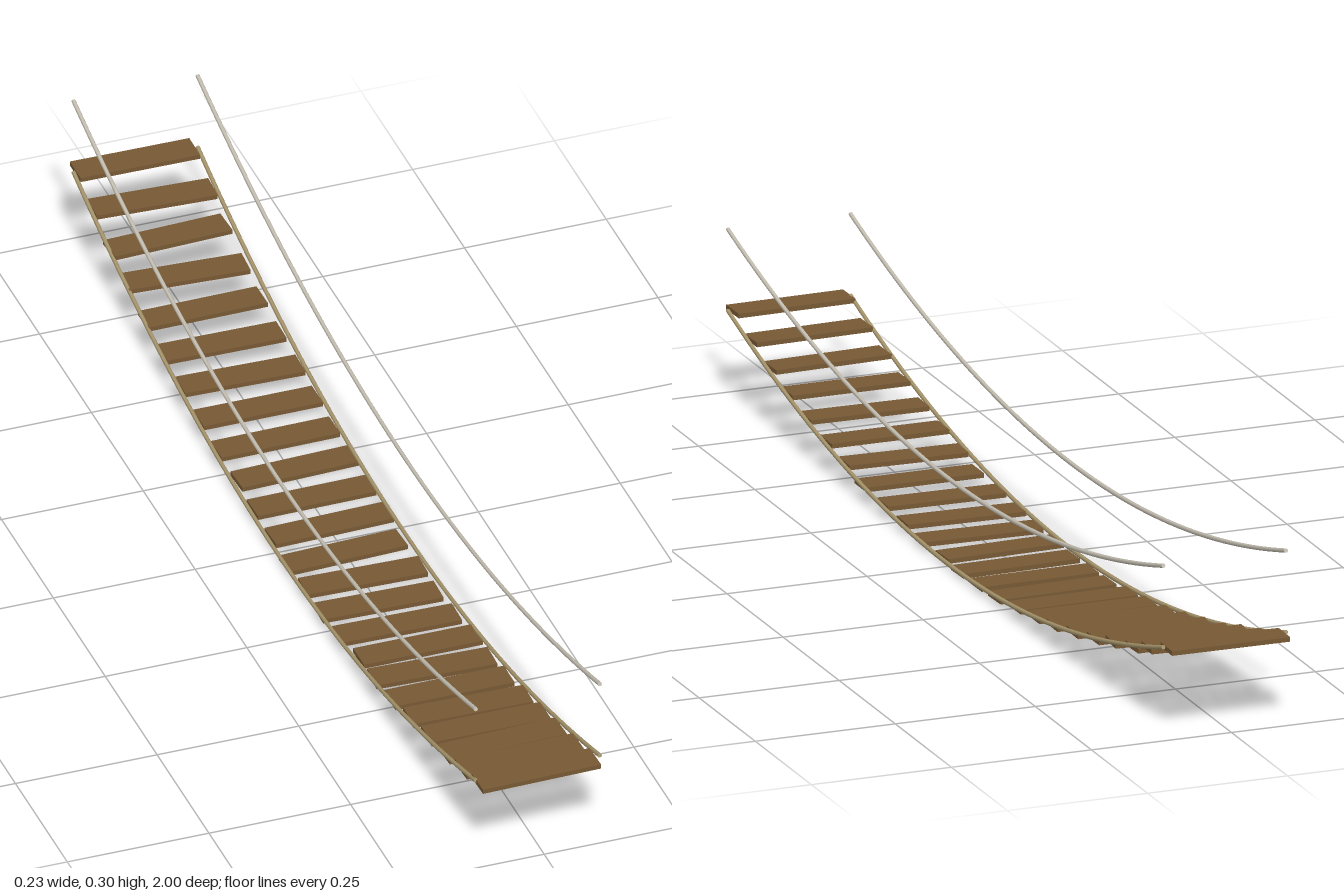
import * as THREE from 'three';

const mat = (name, color) => {
  const m = new THREE.MeshStandardMaterial({ color });
  m.name = name;
  return m;
};

// Rope hanging in a parabola along z
class SagCurve extends THREE.Curve {
  constructor(x, low, high, reach) {
    super();
    Object.assign(this, { x, low, high, reach });
  }
  getPoint(t, target = new THREE.Vector3()) {
    const s = 2 * t - 1;
    return target.set(this.x, this.low + (this.high - this.low) * s * s, s * this.reach);
  }
}

export function createModel() {
  const bridge = new THREE.Group();
  bridge.name = 'ropeBridge';
  const wood = mat('plankWood', 0x785a34);
  const deckRopeMat = mat('deckRope', 0xa8966c);
  const railRopeMat = mat('railRope', 0xc8c2b4);

  // Level planks stepping along the sag, each slightly skewed (back to front)
  const skew = [0.01, 0.05, -0.04, 0.06, -0.01, 0.015, 0.03, 0, -0.01, -0.035, -0.01, -0.03,
    -0.04, 0.03, 0.03, 0.02, 0, 0.035, 0, 0.02, 0, -0.04, -0.03, -0.02];
  const shift = [0, 0, -2, -2, -2, -1, 0, 0, 0, 2, 1, 1, -2, 0, -2, -1, 2, -1, -1, 0, 0, -1, -1, -2];
  const planks = new THREE.Group();
  planks.name = 'planks';
  const plankGeo = new THREE.BoxGeometry(0.21, 0.008, 0.053);
  skew.forEach((a, i) => {
    const s = (2 * i) / (skew.length - 1) - 1;
    const plank = new THREE.Mesh(plankGeo, wood);
    plank.name = 'plank';
    plank.position.set(shift[i] * 0.002, 0.004 + 0.146 * s * s, 0.973 * s);
    plank.rotation.y = -a;
    planks.add(plank);
  });
  bridge.add(planks);

  // Ropes with closed ends
  const addRope = (name, x, low, high, material) => {
    const reach = 0.97, radius = 0.0038;
    const curve = new SagCurve(x, low, high, reach);
    const rope = new THREE.Group();
    rope.name = name;
    rope.add(new THREE.Mesh(new THREE.TubeGeometry(curve, 48, radius, 6), material));
    for (const t of [0, 1]) {
      const cap = new THREE.Mesh(new THREE.CircleGeometry(radius, 6), material);
      const dir = curve.getTangent(t).multiplyScalar(t ? 1 : -1);
      cap.position.copy(curve.getPoint(t));
      cap.quaternion.setFromUnitVectors(new THREE.Vector3(0, 0, 1), dir);
      rope.add(cap);
    }
    rope.children.forEach((m) => { m.name = name + 'Part'; });
    bridge.add(rope);
  };
  for (const [side, x] of [['left', 0.1095], ['right', -0.1095]]) {
    addRope(side + 'DeckRope', x, 0.008, 0.153, deckRopeMat);
    addRope(side + 'HandRope', x, 0.1575, 0.295, railRopeMat);
  }
  return bridge;
}
